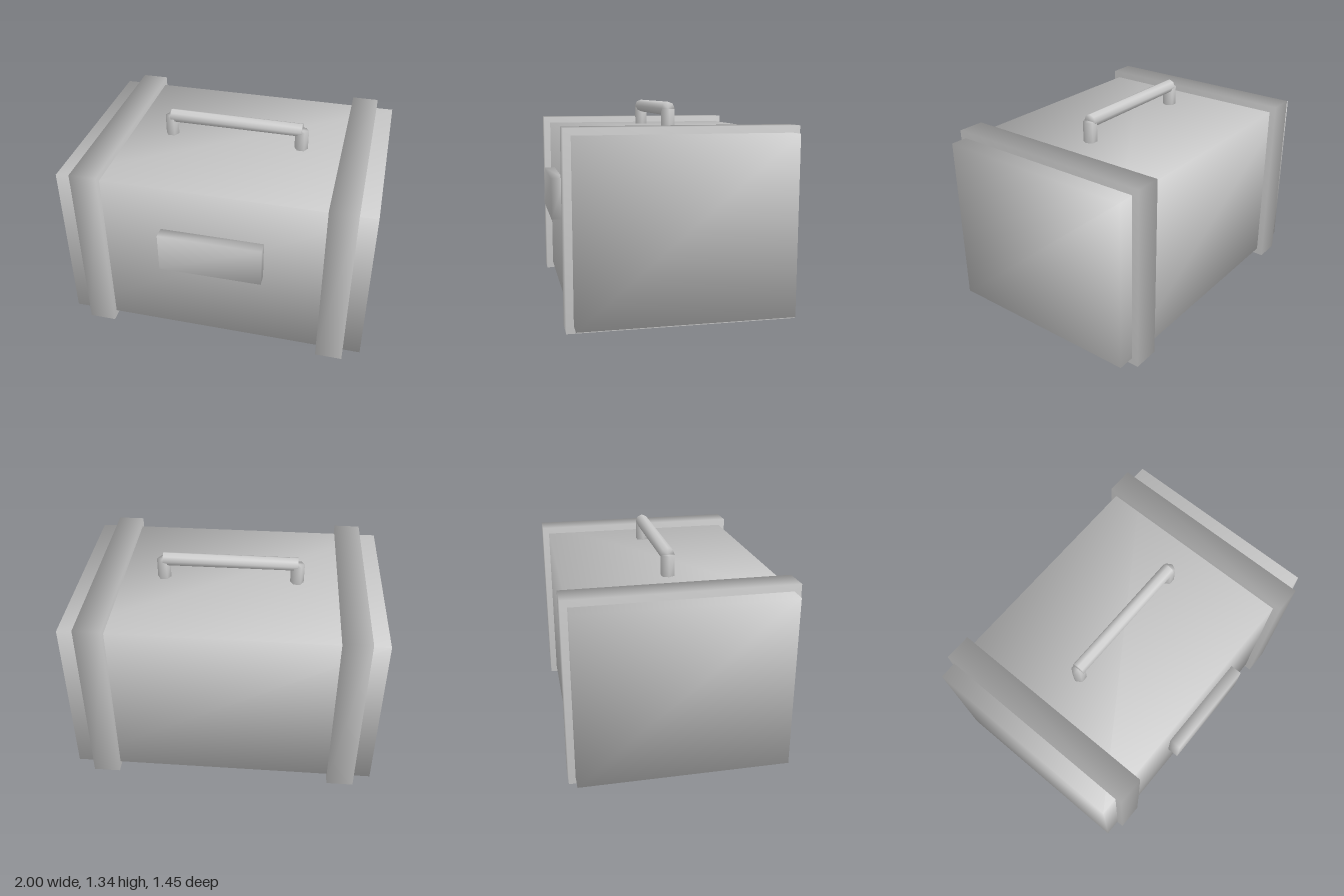
import * as THREE from 'three';
import { mergeVertices } from 'three/addons/utils/BufferGeometryUtils.js';

// Weld all corners so shading flows softly across every edge
function soften(geometry) {
  geometry.deleteAttribute('normal');
  geometry.deleteAttribute('uv');
  const welded = mergeVertices(geometry, 1e-4);
  welded.computeVertexNormals();
  return welded;
}

// Box given by its minimum and maximum corners
function boxBetween([x0, y0, z0], [x1, y1, z1]) {
  const g = new THREE.BoxGeometry(x1 - x0, y1 - y0, z1 - z0);
  g.translate((x0 + x1) / 2, (y0 + y1) / 2, (z0 + z1) / 2);
  return soften(g);
}

export function createModel() {
  const model = new THREE.Group();
  model.name = 'chest';
  const grey = new THREE.MeshStandardMaterial({ color: 0xcccccc });
  grey.name = 'light grey';

  const add = (name, geometry) => {
    const mesh = new THREE.Mesh(geometry, grey);
    mesh.name = name;
    model.add(mesh);
    return mesh;
  };

  const midZ = -0.017;

  // Main box
  add('body', boxBetween([-1, 0.045, -0.684], [1, 1.157, 0.65]));

  // Raised front plate
  add('frontPlate', boxBetween([-0.334, 0.58, 0.64], [0.334, 0.848, 0.727]));

  for (const [side, s] of [['left', 1], ['right', -1]]) {
    // Band wrapped around the body near each end
    const xs = [0.712 * s, 0.888 * s].sort((a, b) => a - b);
    add(side + 'Band', boxBetween([xs[0], 0, -0.727], [xs[1], 1.2, 0.695]));

    // Six-sided handle post with its corners along x
    const post = new THREE.CylinderGeometry(0.045, 0.045, 0.15, 6);
    post.rotateY(Math.PI / 2);
    add(side + 'HandlePost', soften(post)).position.set(0.442 * s, 1.215, midZ);
  }

  // Eight-sided handle bar
  const bar = new THREE.CylinderGeometry(0.044, 0.044, 0.885, 8);
  bar.rotateZ(Math.PI / 2);
  add('handleBar', soften(bar)).position.set(0, 1.292, midZ);

  return model;
}
